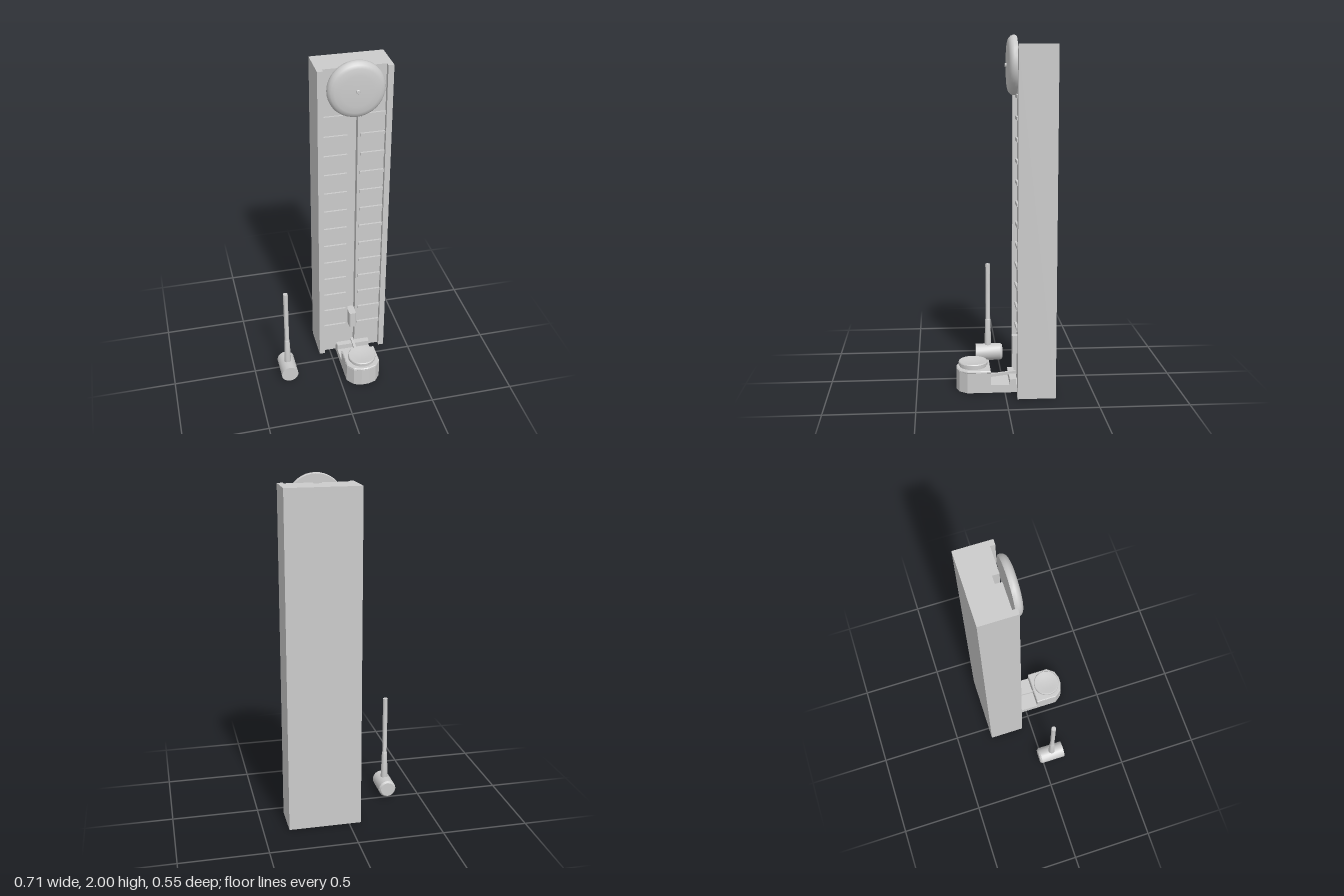
import * as THREE from 'three';
import { toCreasedNormals } from 'three/addons/utils/BufferGeometryUtils.js';

const CX = 0.141; // centre line of the tower
const material = new THREE.MeshStandardMaterial({ color: 0xcccccc, side: THREE.DoubleSide });

export function createModel() {
  const model = new THREE.Group();

  function add(name, geometry, x = 0, y = 0, z = 0, parent = model) {
    const mesh = new THREE.Mesh(geometry, material);
    mesh.name = name;
    mesh.position.set(x, y, z);
    parent.add(mesh);
    return mesh;
  }
  const box = (name, w, h, d, x, y, z) => add(name, new THREE.BoxGeometry(w, h, d), x, y, z);

  // Extrudes a plan outline of [x, z] points upwards
  function extrudeUp(points, height, hole, bevel = 0) {
    const toVec = ([x, z]) => new THREE.Vector2(x, -z);
    const shape = new THREE.Shape(points.map(toVec));
    if (hole) shape.holes.push(new THREE.Path(hole.map(toVec)));
    const geometry = new THREE.ExtrudeGeometry(shape, {
      depth: height, bevelEnabled: bevel > 0, bevelSize: bevel,
      bevelThickness: bevel, bevelOffset: -bevel, bevelSegments: 1,
    });
    return geometry.rotateX(-Math.PI / 2);
  }
  // Turns a [radius, height] profile with crisp edges
  const turned = (profile, sides, crease = 0.6) => toCreasedNormals(
    new THREE.LatheGeometry(profile.map(([r, h]) => new THREE.Vector2(r, h)), sides), crease);
  // Mirrors half a plan outline across the centre line
  const mirrored = (half) => [
    ...half.map(([x, z]) => [CX + x, z]),
    ...half.slice().reverse().map(([x, z]) => [CX - x, z]),
  ];

  // Tower with side rims, recessed panel and central slot
  const towerHalf = [
    [0.211, -0.277], [0.211, -0.063], [0.178, -0.063],
    [0.178, -0.09], [0.023, -0.09], [0.023, -0.128],
  ];
  add('tower', extrudeUp(mirrored(towerHalf), 1.95));

  // Score marks on both sides of the slot
  for (let i = 0; i < 13; i++) {
    for (const side of [-1, 1]) {
      box('scoreMark', 0.14, 0.019, 0.014, CX + side * 0.108, 0.2 + i * 0.122, -0.085);
    }
  }

  // Sliding puck with chamfered corners
  const puckHalf = [[0.015, -0.127], [0.021, -0.12], [0.021, -0.052], [0.015, -0.046]];
  add('puck', extrudeUp(mirrored(puckHalf), 0.105), CX - CX, 0.2, 0);

  // Gong and its bolt
  const gong = turned([
    [0, 0], [0.158, 0], [0.1625, 0.006], [0.1625, 0.02], [0.157, 0.033],
    [0.146, 0.043], [0.128, 0.049], [0.09, 0.052], [0, 0.054],
  ], 40, 0.7);
  add('gong', gong, CX, 1.8375, -0.068).rotation.x = Math.PI / 2;
  const bolt = turned([[0.012, 0], [0.012, 0.006], [0.009, 0.01], [0, 0.01]], 12);
  add('gongBolt', bolt, CX, 1.8375, -0.015).rotation.x = Math.PI / 2;

  // Pedestal: open-bottomed wall with a chamfered lid
  const outline = (s) => mirrored([
    [0.103 * s, 0.08 + 0.1 * (1 - s)], [0.103 * s, 0.177 + 0.036 * s],
    [0.068 * s, 0.177 + 0.081 * s], [0.023 * s, 0.177 + 0.096 * s],
  ]);
  add('pedestalWall', extrudeUp(outline(1), 0.115, outline(0.95)));
  add('pedestalLid', extrudeUp(outline(1), 0.006, null, 0.005), 0, 0.117, 0);

  // Strike button with a dished top
  add('strikeButton', turned([
    [0.077, 0], [0.077, 0.012], [0.084, 0.014], [0.084, 0.029], [0.08, 0.034],
    [0.07, 0.033], [0.045, 0.029], [0.02, 0.027], [0, 0.0265],
  ], 20), CX, 0.125, 0.177);

  // Low base running back to the tower
  box('baseDeck', 0.206, 0.008, 0.157, CX, 0.041, 0.0015);
  for (const side of [-1, 1]) {
    box('baseSide', 0.006, 0.04, 0.157, CX + side * 0.1, 0.02, 0.0015);
  }

  // Lever and its cross support
  box('leverSupport', 0.206, 0.035, 0.035, CX, 0.06, -0.045);
  box('lever', 0.017, 0.016, 0.16, CX, 0.075, 0.01).rotation.x = 0.12;

  // Mallet
  const mallet = new THREE.Group();
  mallet.name = 'mallet';
  mallet.position.set(-0.303, 0.059, 0.067);
  model.add(mallet);
  const head = turned([
    [0, -0.089], [0.043, -0.089], [0.052, -0.077], [0.052, 0.076], [0, 0.076],
  ], 16, 0.5);
  add('malletHead', head, 0, 0, 0, mallet).rotation.x = Math.PI / 2;
  const handle = turned([
    [0.021, 0.03], [0.021, 0.06], [0.016, 0.21], [0.0135, 0.215],
    [0.0145, 0.565], [0, 0.565],
  ], 14);
  add('malletHandle', handle, 0, 0, 0, mallet);

  return model;
}
